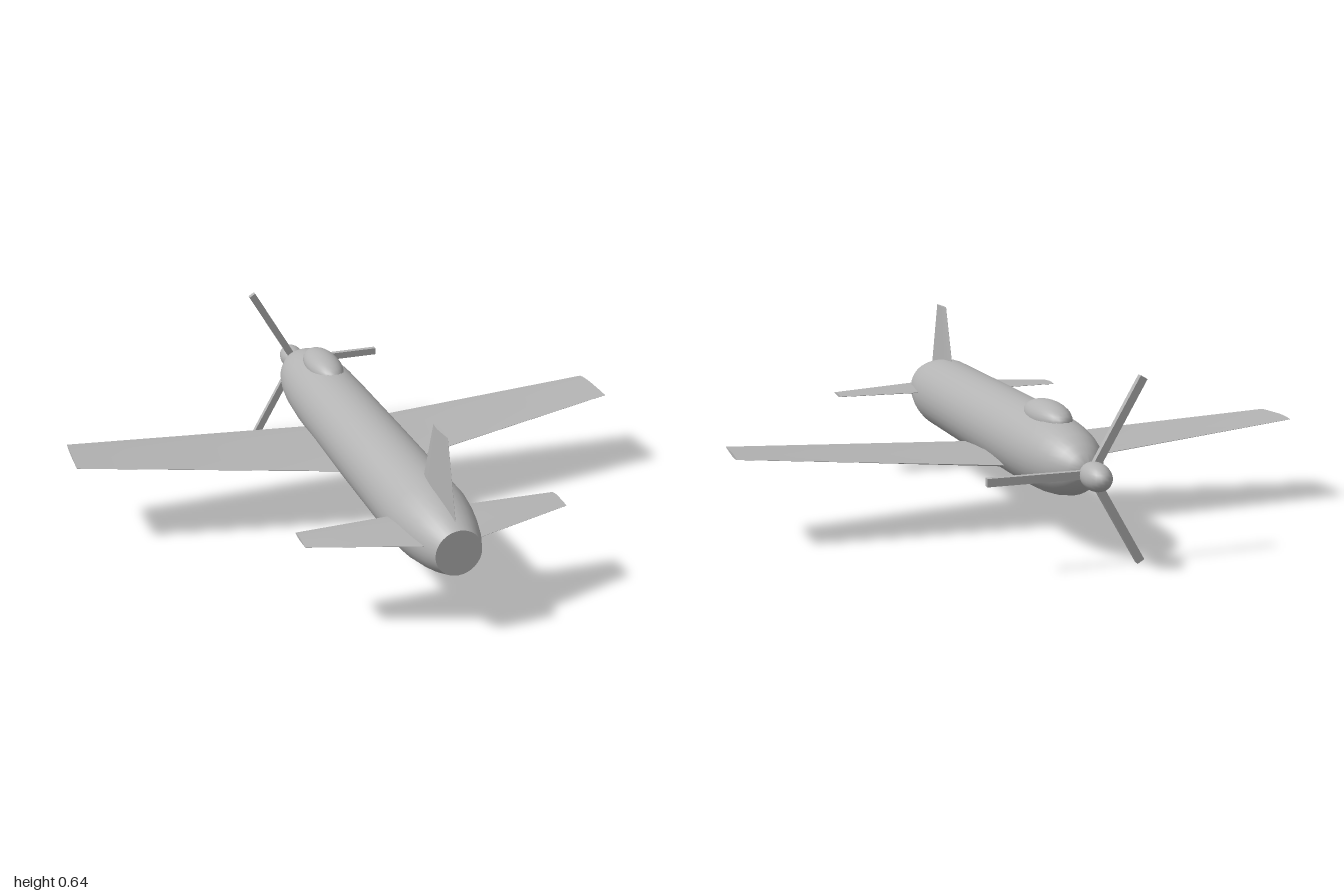
import * as THREE from 'three';
import { toCreasedNormals } from 'three/addons/utils/BufferGeometryUtils.js';

const AXIS_Y = 0.305; // height of the fuselage centre line

// Upper half of a symmetric aerofoil: [fraction of chord, fraction of half thickness]
const FOIL = [[0, 0.05], [0.1, 0.55], [0.25, 0.92], [0.4, 1], [0.7, 0.6], [1, 0.04]];

// Lofts an aerofoil along x through sections { x, y, lead, trail, half }
function loftFoil(sections) {
  const loop = [...FOIL, ...FOIL.slice().reverse().map(([t, h]) => [t, -h])];
  const n = loop.length, pos = [], idx = [];
  for (const s of sections) {
    for (const [t, h] of loop) pos.push(s.x, s.y + h * s.half, s.lead + t * (s.trail - s.lead));
  }
  for (let i = 0; i < sections.length - 1; i++) {
    for (let k = 0; k < n; k++) {
      const a = i * n + k, b = i * n + (k + 1) % n;
      idx.push(a, b, a + n, b, b + n, a + n);
    }
  }
  const last = (sections.length - 1) * n;
  for (let k = 1; k < n - 1; k++) {
    idx.push(last, last + k, last + k + 1); // outer end
    idx.push(0, k + 1, k); // inner end
  }
  const g = new THREE.BufferGeometry();
  g.setAttribute('position', new THREE.Float32BufferAttribute(pos, 3));
  g.setIndex(idx);
  return toCreasedNormals(g, 0.8);
}

// Mirrors a root and tip section into a full span
const fullSpan = (root, tip) => loftFoil([{ ...tip, x: -tip.x }, root, tip]);

export function createModel() {
  const model = new THREE.Group();
  model.name = 'propellerAircraft';
  const paint = new THREE.MeshStandardMaterial({ color: 0xb3b3b3 });
  paint.name = 'lightGrey';

  const add = (name, geometry, parent = model) => {
    const mesh = new THREE.Mesh(geometry, paint);
    mesh.name = name;
    parent.add(mesh);
    return mesh;
  };

  // Fuselage: turned profile [radius, z], nose towards -z
  const profile = [
    [0, -0.772], [0.03, -0.768], [0.055, -0.745], [0.078, -0.715], [0.1, -0.665],
    [0.115, -0.6], [0.125, -0.52], [0.131, -0.4], [0.133, -0.25], [0.134, 0.1], [0.134, 0.68],
    [0.127, 0.74], [0.113, 0.81], [0.098, 0.865], [0.077, 0.92], [0, 0.92],
  ].map(([r, z]) => new THREE.Vector2(r, z));
  const body = new THREE.LatheGeometry(profile, 32);
  body.rotateX(Math.PI / 2);
  add('fuselage', toCreasedNormals(body, 0.8)).position.y = AXIS_Y;

  // Canopy
  const canopy = add('canopy', new THREE.SphereGeometry(1, 24, 16));
  canopy.scale.set(0.064, 0.051, 0.154);
  canopy.position.set(0, 0.42, -0.426);

  // Wings with dihedral, then the tailplane
  add('wings', fullSpan(
    { x: 0, y: 0.224, lead: -0.317, trail: 0.122, half: 0.023 },
    { x: 1, y: 0.31, lead: -0.265, trail: -0.055, half: 0.006 },
  ));
  add('tailplane', fullSpan(
    { x: 0, y: 0.32, lead: 0.64, trail: 0.9, half: 0.012 },
    { x: 0.44, y: 0.32, lead: 0.655, trail: 0.76, half: 0.005 },
  ));

  // Fin: lofted sideways and stood upright
  const fin = add('fin', loftFoil([
    { x: 0.37, y: 0, lead: 0.598, trail: 0.895, half: 0.012 },
    { x: 0.643, y: 0, lead: 0.692, trail: 0.81, half: 0.006 },
  ]));
  fin.rotation.z = Math.PI / 2;

  // Propeller: spinner and three blades
  const propeller = new THREE.Group();
  propeller.name = 'propeller';
  propeller.position.set(0, AXIS_Y, -0.8);
  model.add(propeller);
  const spinner = add('spinner', new THREE.SphereGeometry(1, 20, 14), propeller);
  spinner.scale.set(0.045, 0.045, 0.08);
  spinner.position.z = -0.04;
  for (let i = 0; i < 3; i++) {
    const blade = new THREE.BoxGeometry(0.34, 0.026, 0.02);
    blade.translate(0.17, 0, 0);
    add('blade' + (i + 1), blade, propeller).rotation.z = i * Math.PI * 2 / 3;
  }
  return model;
}
